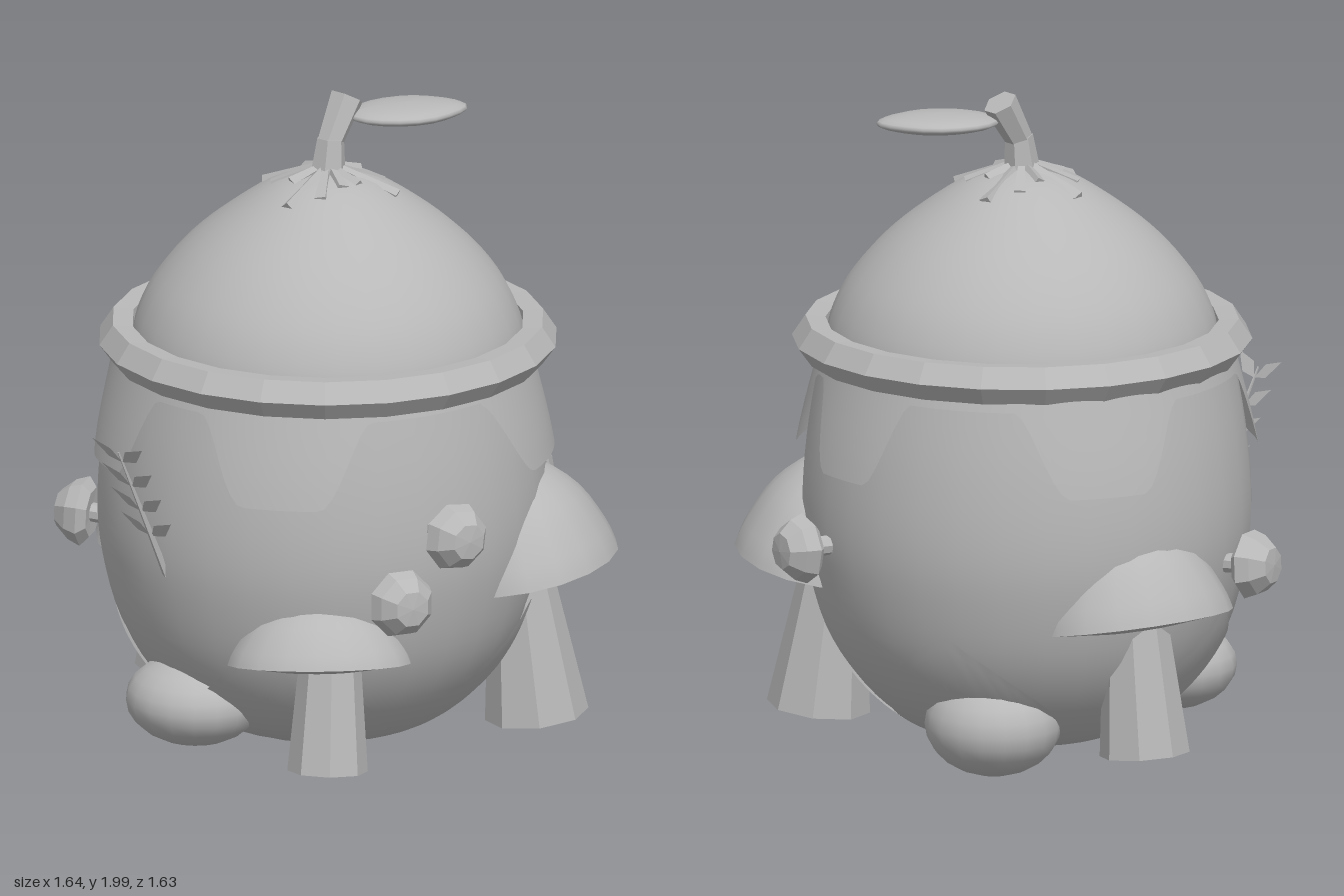
import * as THREE from 'three';

const grey = new THREE.MeshStandardMaterial({ color: 0xb8b8b8, side: THREE.DoubleSide });
grey.name = 'stoneGrey';

const V = (x, y, z) => new THREE.Vector3(x, y, z);
const UP = V(0, 1, 0);
const pts2 = list => list.map(([x, y]) => new THREE.Vector2(x, y));
const lathe = (list, sides) => new THREE.LatheGeometry(pts2(list), sides);

// Faceted version of a geometry
function flat(geometry) {
  const g = geometry.index ? geometry.toNonIndexed() : geometry;
  g.computeVertexNormals();
  return g;
}

function add(parent, name, geometry) {
  const mesh = new THREE.Mesh(geometry, grey);
  mesh.name = name;
  parent.add(mesh);
  return mesh;
}

// Tapered post between two points
function post(parent, name, a, b, ra, rb, sides) {
  const d = b.clone().sub(a);
  const mesh = add(parent, name, flat(new THREE.CylinderGeometry(rb, ra, d.length(), sides)));
  mesh.position.copy(a).addScaledVector(d, 0.5);
  mesh.quaternion.setFromUnitVectors(UP, d.normalize());
}

// Egg-shaped body profile, also used by the shells that hug it
const bodyProfile = new THREE.SplineCurve(pts2([
  [0.001, 0.03], [0.2, 0.045], [0.36, 0.1], [0.5, 0.22], [0.6, 0.38],
  [0.655, 0.58], [0.67, 0.76], [0.652, 0.98], [0.61, 1.22],
])).getPoints(32);

function bodyRadius(y) {
  for (let i = 1; i < bodyProfile.length; i++) {
    const a = bodyProfile[i - 1], b = bodyProfile[i];
    if (y <= b.y) return THREE.MathUtils.lerp(a.x, b.x, Math.max(0, (y - a.y) / (b.y - a.y)));
  }
  return bodyProfile.at(-1).x;
}

// Thin shell around the body between two edge functions of the angle in degrees
function shell(parent, name, low, high, offset) {
  const position = [], index = [], cols = 180, rows = 12;
  for (let i = 0; i <= cols; i++) {
    const deg = i * 360 / cols, a = deg * Math.PI / 180;
    for (let j = 0; j <= rows; j++) {
      const y = THREE.MathUtils.lerp(low(deg), high(deg), j / rows);
      const r = bodyRadius(y) + offset(y);
      position.push(r * Math.sin(a), y, r * Math.cos(a));
      if (i < cols && j < rows) {
        const k = i * (rows + 1) + j, n = k + rows + 1;
        index.push(k, n, k + 1, n, n + 1, k + 1);
      }
    }
  }
  const g = new THREE.BufferGeometry();
  g.setAttribute('position', new THREE.Float32BufferAttribute(position, 3));
  g.setIndex(index);
  g.computeVertexNormals();
  add(parent, name, g);
}

// Large mushroom: faceted stalk, smooth dome wider along the pot's wall, full underside
function largeMushroom(parent, name, { foot, neck, cap, tilt, r, h, rFoot, rNeck, widen }) {
  const group = new THREE.Group();
  group.name = name;
  post(group, 'stalk', foot, neck, rFoot, rNeck, 8);
  const head = new THREE.Group();
  head.name = 'head';
  const dome = new THREE.SplineCurve(pts2([
    [r, 0], [0.93 * r, 0.22 * h], [0.72 * r, 0.6 * h], [0.38 * r, 0.9 * h], [0.001, h],
  ])).getPoints(12);
  const facing = Math.atan2(cap.x, cap.z);
  const spread = g => g.scale(widen, 1, 1).rotateY(facing);
  add(head, 'dome', spread(new THREE.LatheGeometry(dome, 18)));
  add(head, 'underside', spread(lathe([[0.001, -0.02], [0.5 * r, -0.02], [r, 0]], 18)));
  head.position.copy(cap);
  head.quaternion.setFromUnitVectors(UP, tilt.normalize());
  group.add(head);
  parent.add(group);
}

// Small mushroom growing sideways out of the body
function smallMushroom(parent, name, widest, direction) {
  const group = new THREE.Group();
  group.name = name;
  add(group, 'stalk', flat(new THREE.CylinderGeometry(0.028, 0.032, 0.18, 8))).position.y = -0.09;
  add(group, 'cap', flat(lathe(
    [[0.001, -0.02], [0.075, -0.025], [0.105, 0], [0.09, 0.04], [0.055, 0.08], [0.001, 0.085]], 8)));
  group.position.copy(widest);
  group.quaternion.setFromUnitVectors(UP, direction.normalize());
  parent.add(group);
}

export function createModel() {
  const model = new THREE.Group();
  model.name = 'gardenPot';

  add(model, 'body', new THREE.LatheGeometry(bodyProfile, 32));

  // Collar with drooping, slightly flared tabs: centre and half width in degrees
  const tabs = [[31, 32], [88, 20], [162, 24], [241, 20], [301, 24]];
  const tabEdge = deg => {
    let y = 1.165;
    for (const [centre, half] of tabs) {
      const t = Math.abs(deg - centre) / half;
      if (t < 1) y = 0.91 + 0.255 * THREE.MathUtils.smoothstep(t, 0.4, 1.02);
    }
    return y;
  };
  shell(model, 'scallopedCollar', tabEdge, () => 1.2, y => 0.008 + 0.075 * (1.2 - y));

  // Pointed leaf cup round the base
  const cupEdge = deg => {
    const t = ((deg + 17) % 90) / 90;
    return 0.11 + 0.36 * Math.min(1, 2.05 * Math.min(t, 1 - t));
  };
  shell(model, 'baseLeafCup', () => 0.035, cupEdge, () => 0.009);

  // Lid group sits slightly forward on the body
  const top = new THREE.Group();
  top.name = 'lidGroup';
  top.position.z = 0.022;
  model.add(top);
  add(top, 'brim', flat(lathe(
    [[0.58, 1.19], [0.645, 1.19], [0.685, 1.245], [0.645, 1.305], [0.585, 1.3], [0.58, 1.19]], 22)));
  const lid = new THREE.SplineCurve(pts2([
    [0.588, 1.22], [0.572, 1.31], [0.52, 1.42], [0.425, 1.535], [0.3, 1.64], [0.15, 1.735], [0.001, 1.775],
  ])).getPoints(24);
  add(top, 'lid', new THREE.LatheGeometry(lid, 32));

  // Low wrinkles lying on the lid round its stalk
  for (let i = 0; i < 13; i++) {
    const a = i * Math.PI * 2 / 13, len = 0.12 + 0.045 * ((i * 5) % 3);
    post(top, 'wrinkle', V(Math.sin(a) * 0.03, 1.772, Math.cos(a) * 0.03),
      V(Math.sin(a) * len, 1.79 - len * 0.45, Math.cos(a) * len), 0.014, 0.024, 4);
  }

  // Bent lid stalk, built in two faceted lengths
  post(top, 'lidStalkLower', V(0, 1.75, 0), V(0.012, 1.86, 0), 0.055, 0.042, 6);
  post(top, 'lidStalkUpper', V(0.008, 1.845, 0), V(0.085, 1.972, 0), 0.04, 0.052, 6);

  // Leaf on the lid stalk, pinched to a tip at its far end
  const leafShape = new THREE.SphereGeometry(1, 20, 12);
  const lp = leafShape.attributes.position;
  for (let i = 0; i < lp.count; i++) {
    const x = lp.getX(i);
    if (x > 0.2) lp.setZ(i, lp.getZ(i) * (1 - 0.35 * (x - 0.2)));
  }
  leafShape.scale(0.185, 0.03, 0.12);
  leafShape.computeVertexNormals();
  const leaf = add(top, 'lidLeaf', leafShape);
  leaf.position.set(0.235, 1.915, 0.108);
  leaf.rotation.y = -0.56;

  // Mushrooms that the pot stands among
  largeMushroom(model, 'frontLeftMushroom', {
    foot: V(0.385, 0.08, 0.51), neck: V(0.35, 0.6, 0.465), cap: V(0.36, 0.55, 0.475),
    tilt: V(-0.08, 1, -0.15), r: 0.29, h: 0.32, rFoot: 0.155, rNeck: 0.085, widen: 1.25,
  });
  largeMushroom(model, 'frontRightMushroom', {
    foot: V(-0.46, 0.085, 0.43), neck: V(-0.42, 0.44, 0.405), cap: V(-0.43, 0.4, 0.37),
    tilt: V(0.14, 1, -0.14), r: 0.23, h: 0.2, rFoot: 0.12, rNeck: 0.09, widen: 1.2,
  });
  largeMushroom(model, 'backMushroom', {
    foot: V(0.02, 0.085, -0.585), neck: V(0.02, 0.5, -0.54), cap: V(0.025, 0.48, -0.53),
    tilt: V(0, 1, 0.2), r: 0.285, h: 0.31, rFoot: 0.135, rNeck: 0.095, widen: 1.1,
  });

  smallMushroom(model, 'upperFrontBud', V(-0.23, 0.825, 0.73), V(-0.25, 0.02, 0.97));
  smallMushroom(model, 'lowerFrontBud', V(-0.37, 0.63, 0.64), V(-0.35, 0.03, 0.9));
  smallMushroom(model, 'leftBud', V(0.735, 0.685, 0.14), V(1, 0, 0.15));
  smallMushroom(model, 'backBud', V(-0.315, 0.63, -0.665), V(-0.4, 0.05, -0.9));

  // Pebbles: position, radii
  for (const [p, s] of [
    [V(0.325, 0.16, -0.245), V(0.2, 0.155, 0.21)],
    [V(-0.46, 0.2, -0.1), V(0.2, 0.135, 0.21)],
  ]) {
    const pebble = add(model, 'pebble', new THREE.SphereGeometry(1, 18, 12));
    pebble.position.copy(p);
    pebble.scale.copy(s);
  }

  // Leafy sprig leaning out of the right side, blades in pairs
  const sprig = new THREE.Group();
  sprig.name = 'sprig';
  const root = V(-0.65, 0.64, -0.04), tip = V(-0.81, 1.05, -0.09);
  post(sprig, 'twig', root, tip, 0.012, 0.003, 5);
  const blade = new THREE.ShapeGeometry(new THREE.Shape(pts2([[0, 0], [0.024, 0.05], [0, 0.12], [-0.024, 0.05]])));
  for (let i = 0; i < 4; i++) {
    for (const side of [-1, 1]) {
      const along = V(-0.2, 0.5, side * 0.8).normalize();
      const face = V(-0.5, 0.85, 0).cross(along).normalize();
      const b = add(sprig, 'blade', blade);
      b.position.lerpVectors(root, tip, 0.32 + i * 0.2);
      b.quaternion.setFromRotationMatrix(
        new THREE.Matrix4().makeBasis(along.clone().cross(face), along, face));
    }
  }
  model.add(sprig);

  return model;
}
